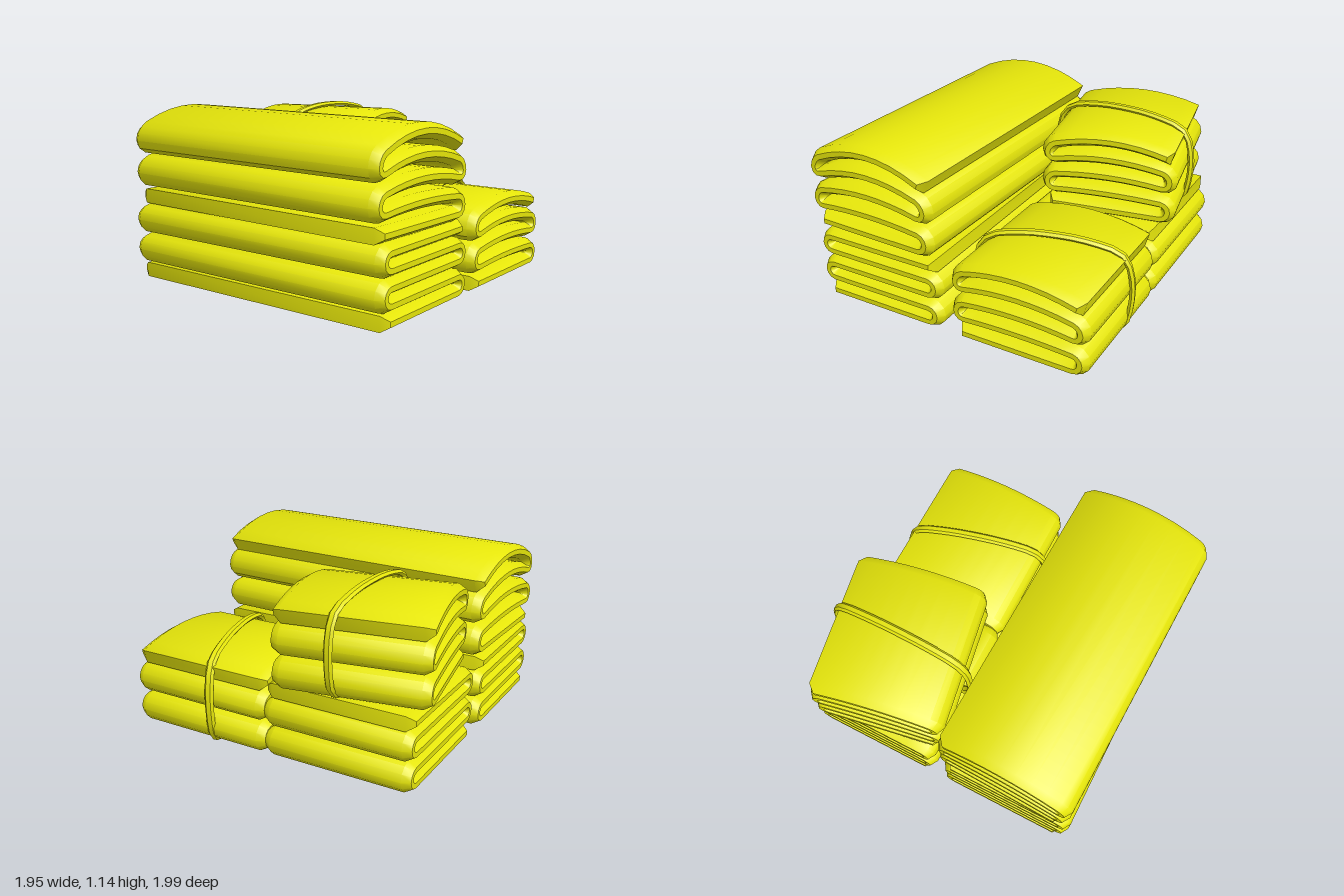
import * as THREE from 'three';
import { toCreasedNormals } from 'three/addons/utils/BufferGeometryUtils.js';

const LAYERS = 5, PITCH = 0.096, HALF = 0.046, BEVEL = 0.05;

// Centre line of a zigzag-folded cloth, bulging upward towards the top layer
function foldPath(width, arch, inset) {
  const pts = [], r = PITCH / 2, xf = width / 2 - r - HALF;
  for (let i = 0; i < LAYERS; i++) {
    const dir = i % 2 ? -1 : 1, y = HALF + i * PITCH;
    const from = i === 0 ? -width / 2 + 0.055 + inset : -dir * xf;
    const to = i === LAYERS - 1 ? width / 2 - 0.045 - inset : dir * xf;
    for (let k = 0; k <= 8; k++) pts.push(new THREE.Vector2(from + (to - from) * k / 8, y));
    if (i < LAYERS - 1) {
      for (let k = 1; k < 6; k++) {
        const a = -Math.PI / 2 + Math.PI * k / 6;
        pts.push(new THREE.Vector2(dir * (xf + r * Math.cos(a)), y + r + r * Math.sin(a)));
      }
    }
  }
  for (const p of pts) {
    const u = Math.min(1, Math.abs(2 * p.x / width));
    p.y += arch * (p.y - HALF) / (PITCH * (LAYERS - 1)) * (1 - u * u);
  }
  return pts;
}

// Closed outline: the centre line offset to both sides
function outline(path, half, z) {
  const near = [], far = [];
  path.forEach((p, i) => {
    const a = path[Math.max(0, i - 1)], b = path[Math.min(path.length - 1, i + 1)];
    const t = b.clone().sub(a).normalize();
    near.push([p.x + t.y * half, p.y - t.x * half, z]);
    far.unshift([p.x - t.y * half, p.y + t.x * half, z]);
  });
  return near.concat(far);
}

// Cloth skinned through four outlines, so both ends are chamfered
function clothGeometry(width, length, arch) {
  const full = foldPath(width, arch, 0), small = foldPath(width, arch, 0.03);
  const L = length / 2;
  const rings = [
    outline(small, 0.016, -L), outline(full, HALF, -L + BEVEL),
    outline(full, HALF, L - BEVEL), outline(small, 0.016, L),
  ];
  const m = rings[0].length, index = [];
  const quad = (a, b, c, d) => index.push(a, b, c, a, c, d);
  for (let k = 0; k < 3; k++) {
    for (let j = 0; j < m; j++) {
      const n = (j + 1) % m;
      quad(k * m + j, k * m + n, (k + 1) * m + n, (k + 1) * m + j);
    }
  }
  for (let j = 0; j < m / 2 - 1; j++) {
    const a = j, b = j + 1, c = m - 2 - j, d = m - 1 - j, f = 3 * m;
    quad(f + a, f + b, f + c, f + d);
    quad(d, c, b, a);
  }
  const geo = new THREE.BufferGeometry();
  geo.setAttribute('position', new THREE.Float32BufferAttribute(rings.flat(2), 3));
  geo.setIndex(index);
  return toCreasedNormals(geo, 0.6);
}

// Half-loop free outline of a tie, centred on x, measured from the stack base
const TIE = [
  [-0.47, 0.08], [-0.475, 0.3], [-0.45, 0.46], [-0.38, 0.54], [-0.2, 0.585], [0, 0.595],
  [0.2, 0.58], [0.4, 0.52], [0.455, 0.4], [0.465, 0.2], [0.42, 0.03],
  [0.25, -0.02], [0, -0.025], [-0.25, -0.02], [-0.42, 0.02],
];

function tieGeometry() {
  const curve = new THREE.CatmullRomCurve3(
    TIE.map(([x, y]) => new THREE.Vector3(x, y, 0)), true);
  const geo = new THREE.TubeGeometry(curve, 36, 0.019, 6, true);
  geo.scale(1, 1, 1.5);
  return toCreasedNormals(geo, 0.6);
}

export function createModel() {
  const group = new THREE.Group();
  const mat = new THREE.MeshStandardMaterial({ color: 0xe6e60a });
  const add = (name, geo, x, y, z, turn = 0) => {
    const mesh = new THREE.Mesh(geo, mat);
    mesh.name = name;
    mesh.position.set(x, y, z);
    mesh.rotation.y = turn;
    group.add(mesh);
    return mesh;
  };

  // Long cloths, one on top of the other
  add('longClothLower', clothGeometry(0.9, 1.92, 0), -0.495, 0.055, 0.02);
  add('longClothUpper', clothGeometry(0.9, 1.92, 0.13), -0.505, 0.535, 0.02, -0.033);

  // Short cloths
  add('shortClothBack', clothGeometry(0.9, 0.96, 0), 0.465, 0.055, -0.46);
  add('shortClothFront', clothGeometry(0.9, 0.96, 0.08), 0.465, 0.055, 0.5);
  add('shortClothUpper', clothGeometry(0.87, 0.93, 0.08), 0.465, 0.53, -0.47, 0.175);

  // Ties around two of the short cloths
  const front = add('tieFront', tieGeometry(), 0.46, 0.045, 0.515, 0.25);
  front.scale.x = 1.02;
  add('tieUpper', tieGeometry(), 0.465, 0.54, -0.45, -0.01).scale.y = 0.95;

  return group;
}
